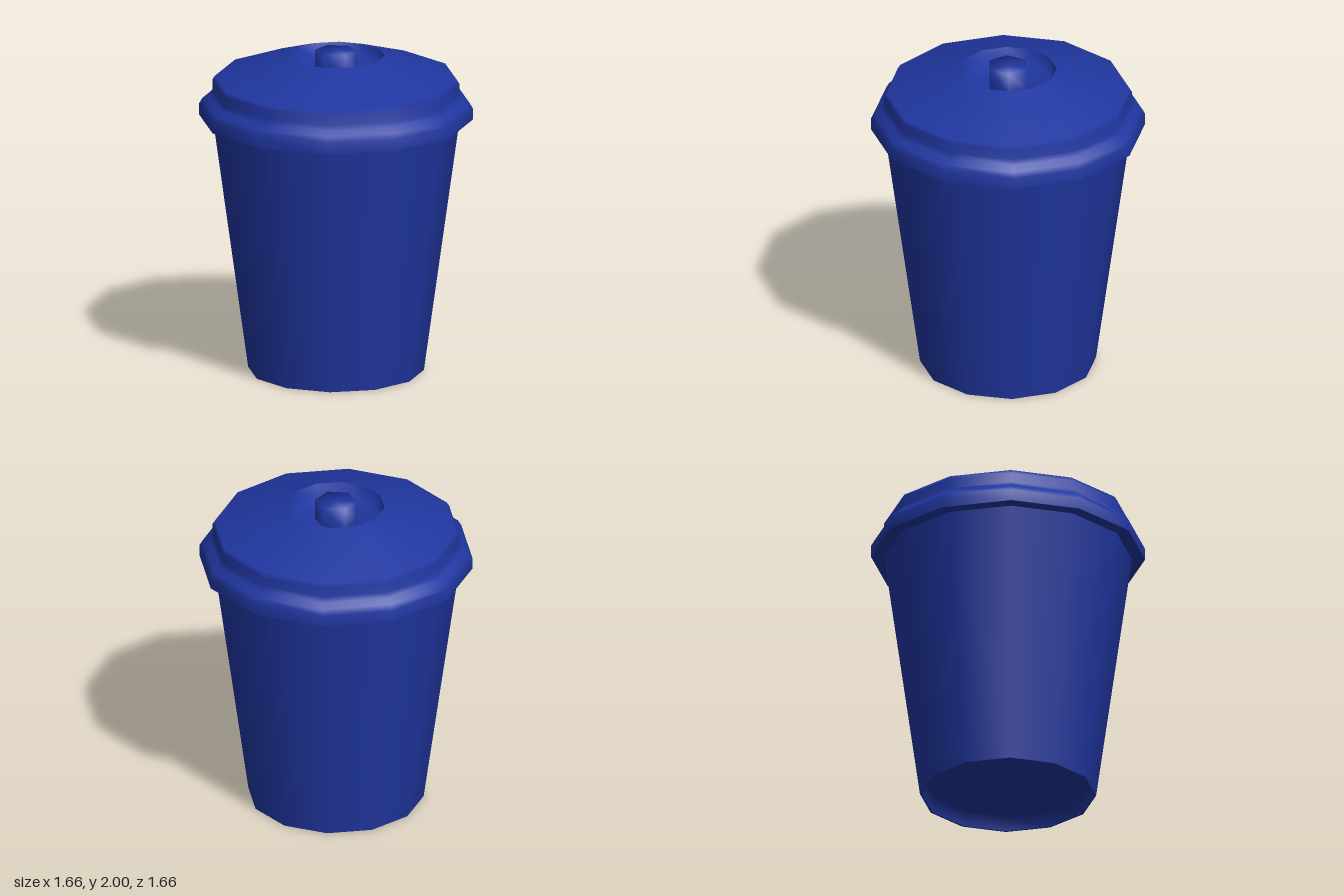
import * as THREE from 'three';

const blue = new THREE.MeshStandardMaterial({ color: 0x2036a0, side: THREE.DoubleSide });

// Spins an [radius, height] profile; each profile is one smooth surface, so joins stay sharp.
function spin(name, sides, profile) {
  const points = profile.map(([r, y]) => new THREE.Vector2(r, y));
  const mesh = new THREE.Mesh(new THREE.LatheGeometry(points, sides), blue);
  mesh.name = name;
  return mesh;
}

export function createModel() {
  const model = new THREE.Group();
  model.name = 'trashCan';

  // Tapered bin standing on a rim around a raised floor
  const bin = new THREE.Group();
  bin.name = 'bin';
  bin.add(
    spin('binFloor', 12, [[0, 0.09], [0.5, 0.09], [0.52, 0]]),
    spin('footRim', 12, [[0.52, 0], [0.533, 0]]),
    spin('binWall', 12, [[0.533, 0], [0.75, 1.58]])
  );

  // Stepped lid with a sloping top and a sunken middle
  const lid = new THREE.Group();
  lid.name = 'lid';
  lid.add(
    spin('lidUnderside', 12, [[0.74, 1.58], [0.83, 1.58]]),
    spin('lidRim', 12, [
      [0.83, 1.58], [0.83, 1.65], [0.81, 1.685], [0.77, 1.71], [0.75, 1.74],
      [0.75, 1.8], [0.735, 1.825], [0.295, 1.97]
    ]),
    spin('lidRecess', 12, [[0.295, 1.97], [0.26, 1.88], [0, 1.86]])
  );

  // Six-sided knob in the recess
  const knob = spin('knob', 6, [[0.127, 1.86], [0.127, 2], [0, 2]]);

  model.add(bin, lid, knob);
  return model;
}
